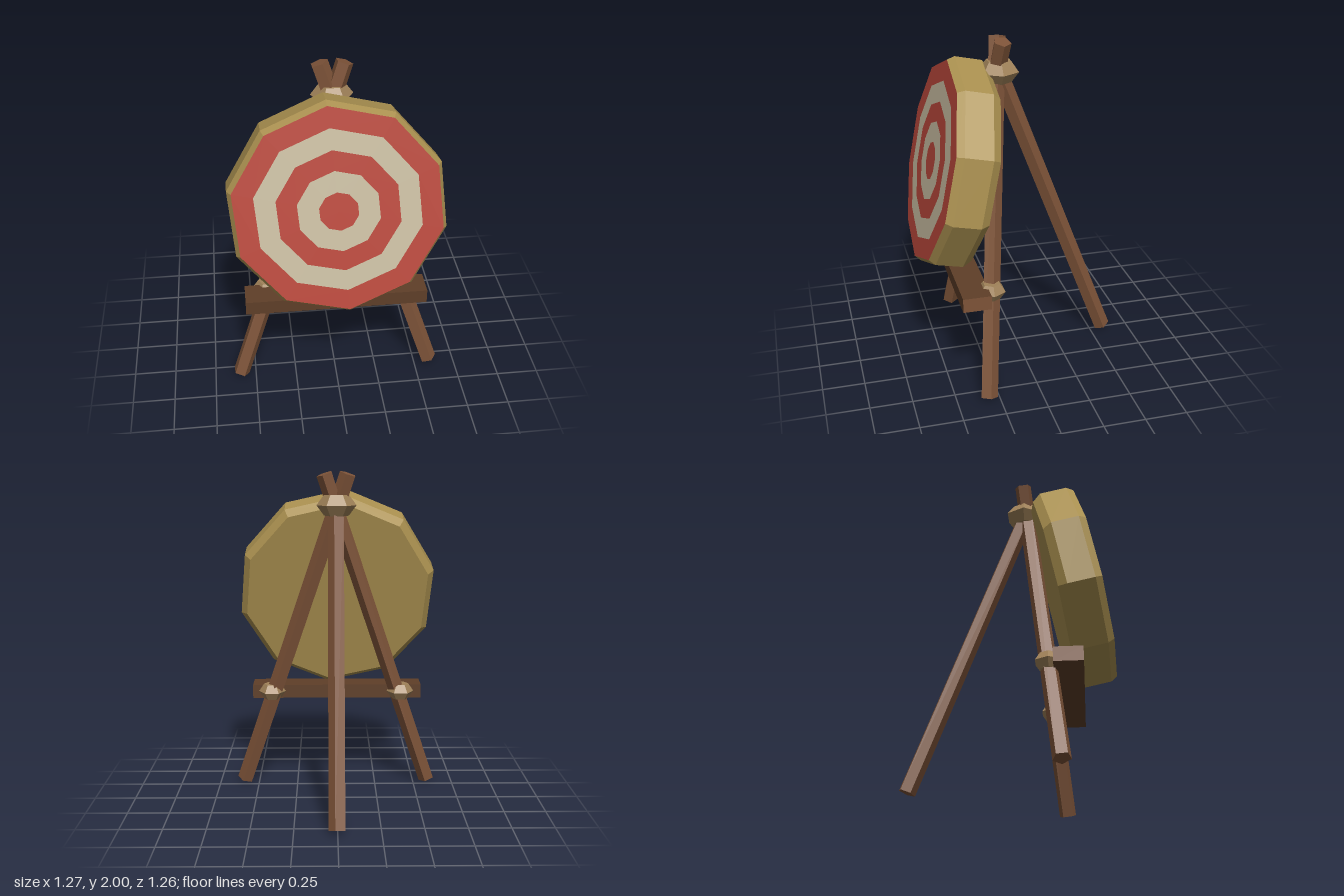
import * as THREE from 'three';

const material = (name, color) => {
  const m = new THREE.MeshStandardMaterial({ color });
  m.name = name;
  return m;
};

// Faceted look: every face gets its own normal
function flat(geometry) {
  const g = geometry.index ? geometry.toNonIndexed() : geometry;
  g.computeVertexNormals();
  return g;
}

const profile = (pairs) => pairs.map(([r, y]) => new THREE.Vector2(r, y));

export function createModel() {
  const wood = material('wood', 0x7d5338);
  const darkWood = material('dark wood', 0x5f3f28);
  const straw = material('straw', 0xab9150);
  const rope = material('rope', 0xa08259);
  const red = material('red paint', 0xb8473b);
  const cream = material('cream paint', 0xc8bca0);

  const model = new THREE.Group();
  model.name = 'archeryTarget';

  const add = (parent, name, geometry, mat) => {
    const mesh = new THREE.Mesh(geometry, mat);
    mesh.name = name;
    parent.add(mesh);
    return mesh;
  };

  // Five-sided pole between two points
  function pole(name, from, to, spin) {
    const a = new THREE.Vector3(...from);
    const b = new THREE.Vector3(...to);
    const g = new THREE.CylinderGeometry(0.052, 0.052, a.distanceTo(b), 5);
    g.rotateY(spin);
    const mesh = add(model, name, flat(g), wood);
    mesh.position.copy(a).add(b).multiplyScalar(0.5);
    mesh.quaternion.setFromUnitVectors(new THREE.Vector3(0, 1, 0), b.sub(a).normalize());
  }

  // Six-sided rope lashing with a ridge round its middle
  function lashing(name, radius, half, position) {
    const g = new THREE.LatheGeometry(profile([
      [0, -half], [radius * 0.62, -half], [radius, 0], [radius * 0.62, half], [0, half],
    ]), 6);
    g.rotateY(Math.PI / 6);
    add(model, name, flat(g), rope).position.set(...position);
  }

  // Tripod: the front legs cross at the top, the back leg ends in the lashing
  for (const [side, s] of [['left', 1], ['right', -1]]) {
    pole(`${side}FrontLeg`, [s * 0.59, 0.016, 0.315], [-s * 0.07, 1.985, 0.095], 0.35);
    lashing(`${side}BeamLashing`, 0.085, 0.048, [s * 0.405, 0.62, 0.25]);
  }
  pole('backLeg', [0, 0.019, -0.58], [0, 1.8, 0.105], 0.35);
  lashing('topLashing', 0.12, 0.062, [0, 1.8, 0.1]);

  // Crossbeam with lighter cut ends
  add(model, 'crossbeam', new THREE.BoxGeometry(1.07, 0.085, 0.165),
    [wood, wood, darkWood, darkWood, darkWood, darkWood]).position.set(-0.005, 0.61, 0.36);

  // Ten-sided straw disc, leaning back
  const target = new THREE.Group();
  target.name = 'target';
  target.position.set(-0.005, 1.29, 0.51);
  target.rotation.x = -0.212;
  model.add(target);

  const twist = THREE.MathUtils.degToRad(5);
  const body = new THREE.LatheGeometry(profile([
    [0, -0.25], [0.58, -0.25], [0.62, -0.2], [0.62, -0.04], [0.595, 0],
  ]), 10);
  body.rotateX(Math.PI / 2);
  body.rotateZ(twist);
  add(target, 'strawDisc', flat(body), straw);

  // Painted face: alternating rings around a red centre
  const radii = [0, 0.112, 0.235, 0.352, 0.474, 0.595];
  for (let i = 0; i < 5; i++) {
    const start = Math.PI / 2 + twist;
    const g = i === 0
      ? new THREE.CircleGeometry(radii[1], 10, start)
      : new THREE.RingGeometry(radii[i], radii[i + 1], 10, 1, start);
    add(target, i === 0 ? 'bullseye' : `paintedRing${i}`, g, i % 2 ? cream : red);
  }

  return model;
}
